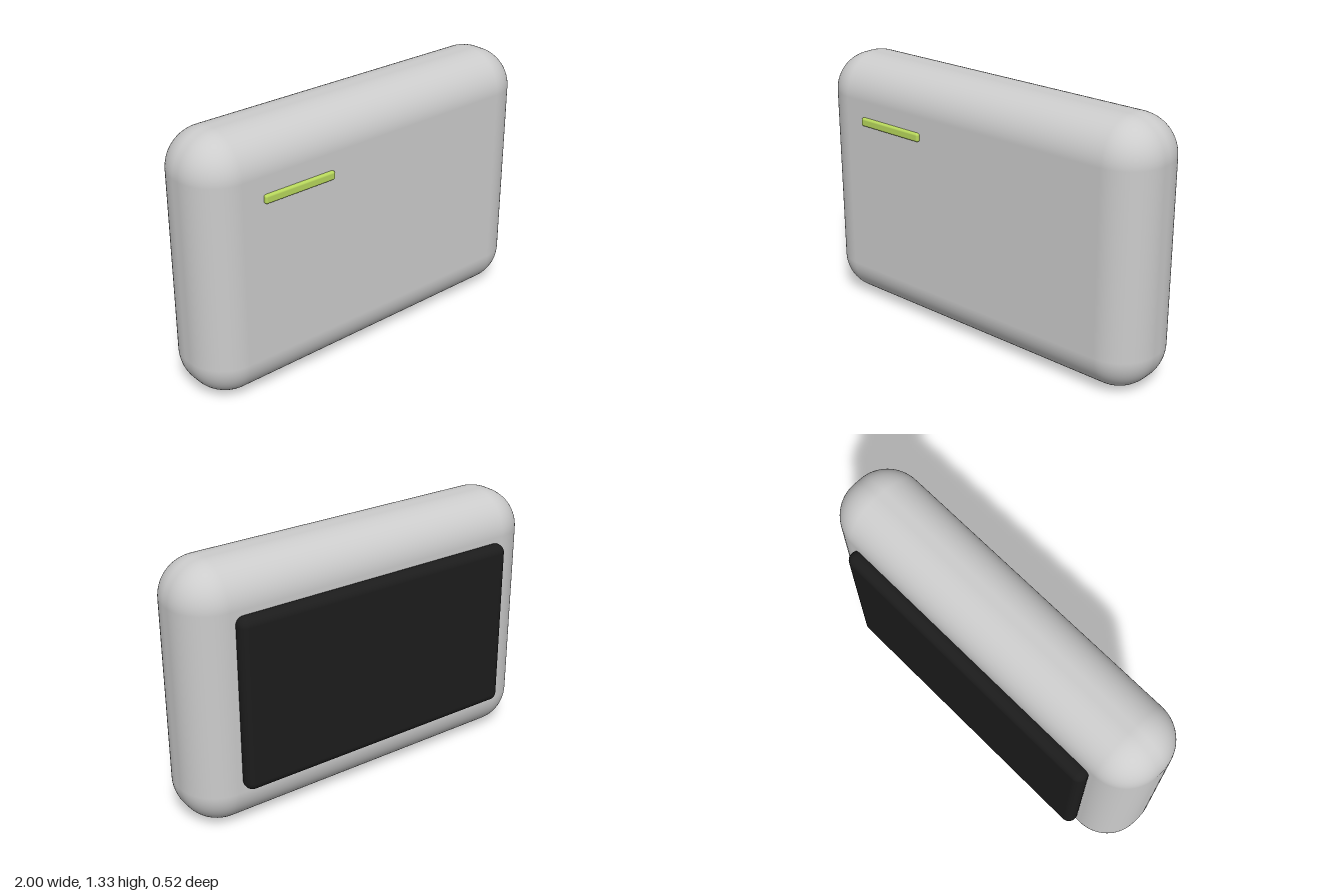
import * as THREE from 'three';
import { RoundedBoxGeometry } from 'three/addons/geometries/RoundedBoxGeometry.js';

function material(name, color) {
  const m = new THREE.MeshStandardMaterial({ color });
  m.name = name;
  return m;
}

// Rounded box given by its extents on each axis
function roundedPart(name, [x0, x1], [y0, y1], [z0, z1], radius, segments, mat) {
  const geometry = new RoundedBoxGeometry(x1 - x0, y1 - y0, z1 - z0, segments, radius);
  const mesh = new THREE.Mesh(geometry, mat);
  mesh.name = name;
  mesh.position.set((x0 + x1) / 2, (y0 + y1) / 2, (z0 + z1) / 2);
  return mesh;
}

export function createModel() {
  const group = new THREE.Group();
  group.name = 'roundedDevice';

  const shell = material('light grey', 0xcccccc);
  const screen = material('near black', 0x1c1c1c);
  const light = material('lime green', 0xb8d85c);

  group.add(
    // Soft pillow-shaped case
    roundedPart('body', [-1, 1], [0, 1.333], [-0.196, 0.245], 0.2, 10, shell),
    // Dark plate set into the back
    roundedPart('backPanel', [-0.78, 0.78], [0.225, 1.112], [-0.262, -0.173], 0.044, 6, screen),
    // Small indicator bar on the front
    roundedPart('indicatorBar', [-0.69, -0.29], [1.004, 1.048], [0.218, 0.262], 0.011, 4, light),
  );
  return group;
}
